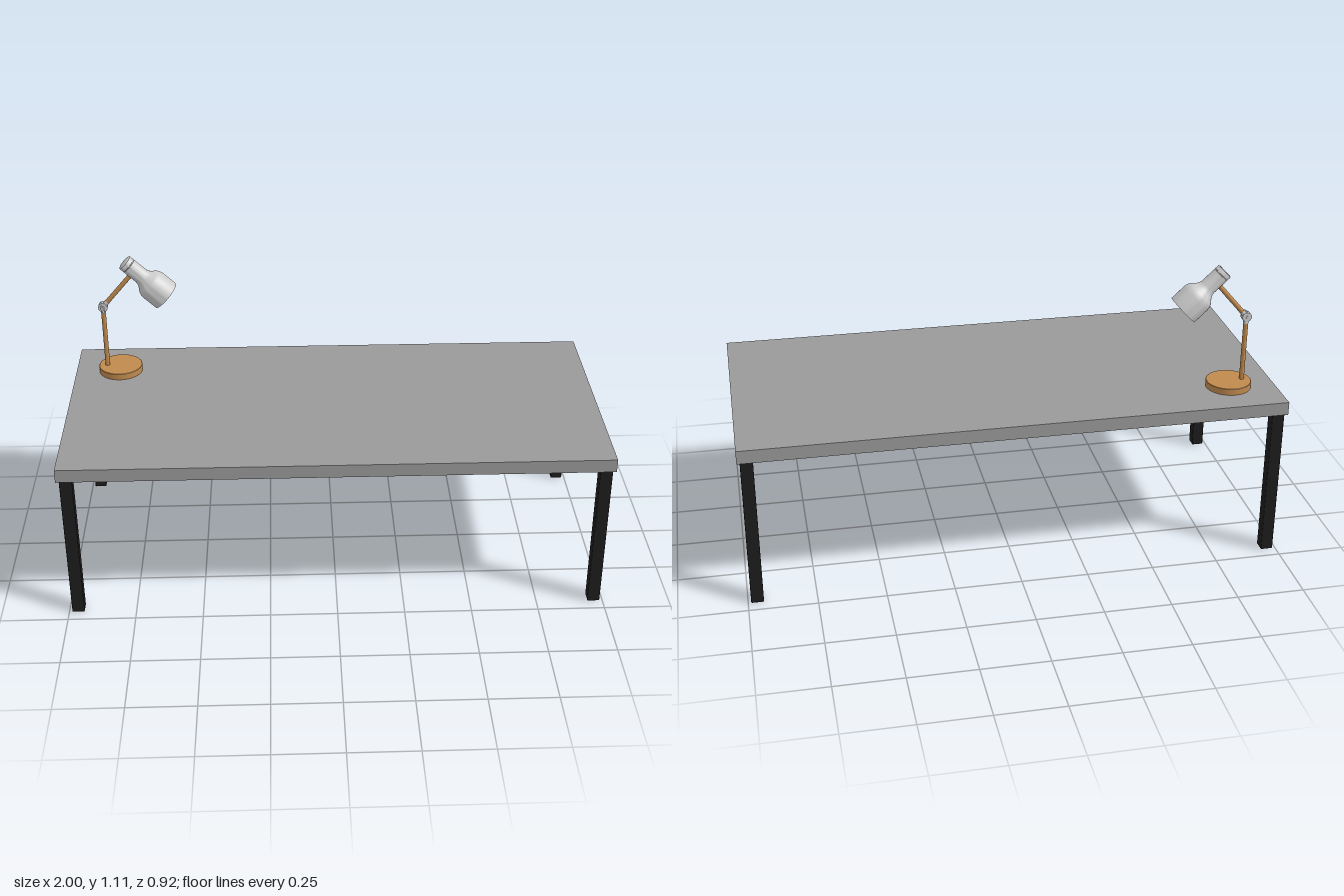
import * as THREE from 'three';
import { toCreasedNormals } from 'three/addons/utils/BufferGeometryUtils.js';
import { RoundedBoxGeometry } from 'three/addons/geometries/RoundedBoxGeometry.js';

const paint = (color, side = THREE.FrontSide) => new THREE.MeshStandardMaterial({ color, side });
const v2 = (pairs) => pairs.map(([x, y]) => new THREE.Vector2(x, y));

function add(parent, name, geometry, material, x = 0, y = 0, z = 0) {
  const mesh = new THREE.Mesh(geometry, material);
  mesh.name = name;
  mesh.position.set(x, y, z);
  parent.add(mesh);
  return mesh;
}

// Round rod between two points
function rod(parent, name, from, to, radius, material) {
  const dir = to.clone().sub(from);
  const mesh = add(parent, name, new THREE.CylinderGeometry(radius, radius, dir.length(), 20), material);
  mesh.position.copy(from).addScaledVector(dir, 0.5);
  mesh.quaternion.setFromUnitVectors(new THREE.Vector3(0, 1, 0), dir.normalize());
  return mesh;
}

function lathe(points, segments = 40) {
  return toCreasedNormals(new THREE.LatheGeometry(v2(points), segments), 0.6);
}

function createTable() {
  const table = new THREE.Group();
  table.name = 'table';
  add(table, 'tableTop', new THREE.BoxGeometry(2, 0.05, 0.924), paint(0x999999), 0, 0.601, 0);
  const black = paint(0x1c1c1c);
  for (const sx of [-1, 1]) {
    for (const sz of [-1, 1]) {
      add(table, 'leg', new RoundedBoxGeometry(0.046, 0.577, 0.046, 2, 0.004), black, sx * 0.966, 0.2885, sz * 0.433);
    }
  }
  return table;
}

function createLampHead(grey, shell) {
  // Built along +y from the back cap (y = 0) to the opening (y = 0.206)
  const head = new THREE.Group();
  head.name = 'lampHead';
  add(head, 'shade', lathe([
    [0, 0], [0.027, 0], [0.030, 0.002], [0.031, 0.005], [0.031, 0.018], [0.0297, 0.019], [0.0297, 0.021],
    [0.031, 0.022], [0.031, 0.084], [0.033, 0.093], [0.038, 0.102], [0.046, 0.111], [0.053, 0.119],
    [0.058, 0.129], [0.0605, 0.142], [0.0605, 0.206], [0.0585, 0.206], [0.0585, 0.142], [0.055, 0.129],
    [0.044, 0.114], [0.034, 0.104], [0, 0.1],
  ]), shell);
  add(head, 'bulb', new THREE.SphereGeometry(0.032, 32, 20), grey, 0, 0.169, 0);
  add(head, 'bulbSocket', new THREE.CylinderGeometry(0.016, 0.016, 0.045, 24), grey, 0, 0.12, 0);
  return head;
}

function createLamp() {
  const lamp = new THREE.Group();
  lamp.name = 'deskLamp';
  lamp.position.z = -0.283;
  const wood = paint(0xc08a4e);
  const grey = paint(0xcccccc);
  const shell = paint(0xcccccc, THREE.DoubleSide);
  const joint = new THREE.Vector3(-0.877, 0.903, 0);

  // Base and post
  add(lamp, 'base', lathe([
    [0, 0], [0.084, 0], [0.084, 0.0235], [0.0825, 0.025], [0, 0.025],
  ], 48), wood, -0.826, 0.626, 0);
  rod(lamp, 'post', new THREE.Vector3(joint.x, 0.648, 0), new THREE.Vector3(joint.x, 0.878, 0), 0.009, wood);

  // Arm, with a metal ferrule at the joint end
  const armEnd = new THREE.Vector3(-0.76, 1.038, 0);
  const along = (t) => joint.clone().lerp(armEnd, t);
  rod(lamp, 'arm', along(0.14), armEnd, 0.009, wood);
  rod(lamp, 'armFerrule', joint, along(0.16), 0.01, grey);
  rod(lamp, 'postFerrule', new THREE.Vector3(joint.x, 0.876, 0), joint, 0.01, grey);

  // Hinge: two discs on a pin, tightened by a wing knob in front
  for (const z of [-0.006, 0.006]) {
    add(lamp, 'hingeDisc', new THREE.CylinderGeometry(0.018, 0.018, 0.01, 28), grey, joint.x, joint.y, z).rotation.x = Math.PI / 2;
  }
  rod(lamp, 'hingePin', joint.clone().setZ(-0.013), joint.clone().setZ(0.024), 0.005, grey);
  const wing = add(lamp, 'wingKnob', new RoundedBoxGeometry(0.008, 0.032, 0.015, 3, 0.0035), grey, joint.x, joint.y - 0.002, 0.026);
  wing.rotation.z = 0.4;

  // Head, tilted down toward the desk
  const head = createLampHead(grey, shell);
  head.position.set(-0.783, 1.088, 0);
  head.quaternion.setFromUnitVectors(new THREE.Vector3(0, 1, 0), new THREE.Vector3(0.727, -0.687, 0).normalize());
  lamp.add(head);
  return lamp;
}

export function createModel() {
  const model = new THREE.Group();
  model.name = 'deskWithLamp';
  model.add(createTable(), createLamp());
  return model;
}
